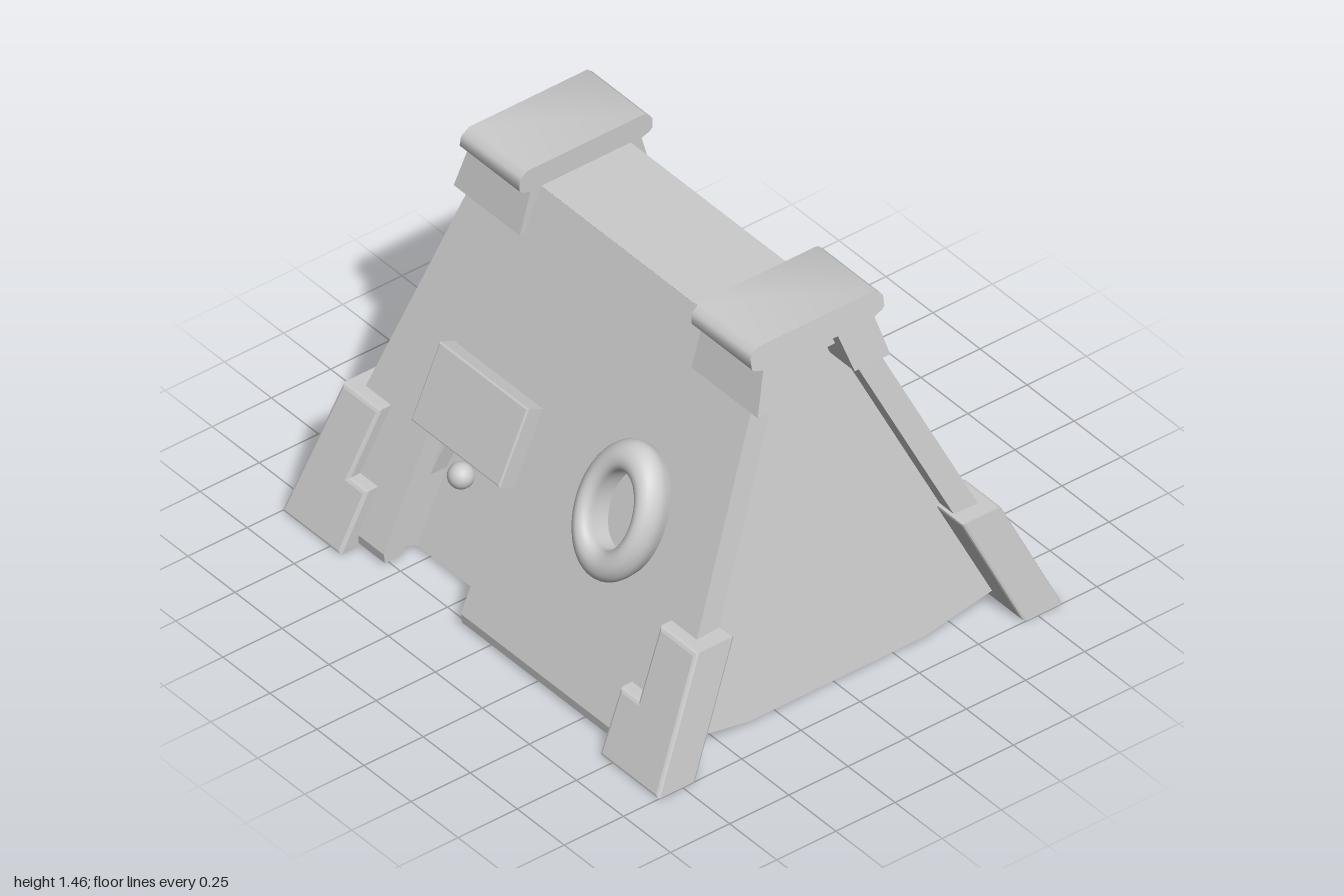
import * as THREE from 'three';
import { toCreasedNormals } from 'three/addons/utils/BufferGeometryUtils.js';

const SLOPE = 0.453;              // horizontal run of the front and back walls per unit height
const TAPER = 0.171;              // narrowing of the ends per unit height
const TILT = Math.atan(SLOPE);
const material = new THREE.MeshStandardMaterial({ color: 0xcccccc });

const shapeOf = (points) => new THREE.Shape(points.map(([x, y]) => new THREE.Vector2(x, y)));

function addMesh(parent, name, geometry) {
  const mesh = new THREE.Mesh(geometry, material);
  mesh.name = name;
  parent.add(mesh);
  return mesh;
}

// Slab between two depths, with an optional small bevel
function slab(points, back, front, bevel = 0) {
  const geometry = new THREE.ExtrudeGeometry(shapeOf(points), {
    depth: front - back - 2 * bevel,
    bevelEnabled: bevel > 0,
    bevelSize: bevel, bevelOffset: -bevel, bevelThickness: bevel, bevelSegments: 2,
  });
  return geometry.translate(0, 0, back + bevel);
}

// Move every vertex by a rule and refresh the normals
function warp(geometry, rule) {
  const p = geometry.attributes.position;
  for (let i = 0; i < p.count; i++) p.setXYZ(i, ...rule(p.getX(i), p.getY(i), p.getZ(i)));
  geometry.computeVertexNormals();
  return geometry;
}

// Profile in (z, y) run along x from an outer end to an inner end
function alongX(points, outer, inner) {
  return warp(slab(points, 0, 1), (z, y, t) => {
    const xOut = outer(y);
    return [xOut + (inner(y) - xOut) * t, y, z];
  });
}

const mirrored = (half) => [...half, ...half.map(([z, y]) => [-z, y]).reverse()];

// Group whose local xy plane lies on a sloping wall
function slopedGroup(name) {
  const group = new THREE.Group();
  group.name = name;
  group.position.z = 0.807;
  group.rotation.x = -TILT;
  return group;
}

const sideEdge = (y) => 0.96 - TAPER * y;
const wallEdge = (v) => sideEdge(Math.cos(TILT) * v);
const V0 = 0.06, V1 = 1.498;
const DOOR_A = -0.55, DOOR_B = -0.14, DOOR_TOP = 0.604;

function buildFront() {
  const front = slopedGroup('frontWall');
  const [a, b, top] = [DOOR_A, DOOR_B, DOOR_TOP];
  addMesh(front, 'frontPanel', slab([
    [-wallEdge(V0), V0], [a, V0], [a, top], [b, top], [b, V0],
    [wallEdge(V0), V0], [wallEdge(V1), V1], [-wallEdge(V1), V1],
  ], -0.09, 0));

  // Recessed doorway
  addMesh(front, 'doorFrame', slab([
    [a - 0.02, 0.09], [a, 0.09], [a, top], [b, top], [b, 0.09],
    [b + 0.02, 0.09], [b + 0.02, top + 0.02], [a - 0.02, top + 0.02],
  ], -0.155, -0.08));
  addMesh(front, 'door', slab([[a, 0.09], [b, 0.09], [b, top], [a, top]], -0.155, -0.145));
  const knob = addMesh(front, 'doorKnob', new THREE.SphereGeometry(0.047, 24, 16));
  knob.position.set(-0.455, 0.407, -0.12);
  addMesh(front, 'doorHood', slab(
    [[-0.58, 0.551], [-0.11, 0.551], [-0.11, 0.847], [-0.58, 0.847]], -0.01, 0.07, 0.006));

  // Oval window ring
  const curve = new THREE.SplineCurve([
    [0.165, -0.01], [0.18, 0.04], [0.178, 0.075], [0.162, 0.105], [0.137, 0.119],
    [0.114, 0.112], [0.102, 0.09], [0.102, 0.05], [0.102, -0.01],
  ].map(([r, h]) => new THREE.Vector2(r, h)));
  const ringGeometry = new THREE.LatheGeometry(curve.getPoints(28), 64);
  ringGeometry.rotateX(Math.PI / 2).scale(1, 1.4, 1);
  const ring = addMesh(front, 'windowRing', ringGeometry);
  ring.position.set(0.412, 0.75, 0);
  return front;
}

function buildBack() {
  const back = slopedGroup('backWall');
  addMesh(back, 'backPanel', slab([
    [-wallEdge(V0), V0], [wallEdge(V0), V0], [wallEdge(V1), V1], [-wallEdge(V1), V1],
  ], -0.09, 0));
  const turn = new THREE.Group();
  turn.rotation.y = Math.PI;
  turn.add(back);
  return turn;
}

// Upright lower lip of both walls, broken at the doorway
function buildLips() {
  const lips = new THREE.Group();
  lips.name = 'wallLips';
  const profile = [[0.78, 0.056], [0.776, 0.015], [0.7, 0.015], [0.69, 0.05]];
  const backProfile = profile.map(([z, y]) => [-z, y]);
  const otherEdge = (y) => -sideEdge(y);
  addMesh(lips, 'frontLip', alongX(profile, sideEdge, () => DOOR_B));
  addMesh(lips, 'frontLip', alongX(profile, () => DOOR_A, otherEdge));
  addMesh(lips, 'backLip', alongX(backProfile, sideEdge, otherEdge));
  return lips;
}

// Stepped corner guard leaning with the wall; side is +1 or -1 in x
function cornerGuard(side) {
  const outline = [
    [1, 0], [0.94, 0.47], [0.745, 0.47], [0.77, 0.225], [0.675, 0.225], [0.69, 0],
  ].map(([x, y]) => [x * side, y]);
  return warp(slab(outline, -0.165, 0, 0.012), (x, y, z) => [x, y, z + 0.857 - SLOPE * y]);
}

export function createModel() {
  const model = new THREE.Group();
  model.name = 'tentHouse';
  model.add(buildFront(), buildBack(), buildLips());

  // Flat ridge joining both slopes
  addMesh(model, 'ridge', alongX(
    mirrored([[0.15, 1.29], [0.189, 1.365]]), sideEdge, (y) => -sideEdge(y)));

  // Thick end wall with a chamfered foot
  const endWall = alongX(
    mirrored([[0.37, 0.02], [0.68, 0.07], [0.13, 1.36]]),
    (y) => 0.88 - TAPER * y, (y) => 0.6 - TAPER * y);

  // Saddle-shaped ridge cap with an arch below
  const ridgeCap = toCreasedNormals(alongX(mirrored([
    [0.08, 1.355], [0.13, 1.2], [0.28, 1.2], [0.235, 1.362], [0.27, 1.374],
    [0.28, 1.384], [0.28, 1.424], [0.272, 1.435], [0.25, 1.455],
  ]), (y) => 0.808 - TAPER * (y - 1.2), () => 0.457), 0.9);

  // Each end repeats by a half turn
  for (let i = 0; i < 2; i++) {
    const half = new THREE.Group();
    half.name = i ? 'rightEnd' : 'leftEnd';
    half.rotation.y = i * Math.PI;
    addMesh(half, 'endWall', endWall);
    addMesh(half, 'ridgeCap', ridgeCap);
    for (const side of [1, -1]) addMesh(half, 'cornerGuard', cornerGuard(side));
    model.add(half);
  }
  return model;
}
